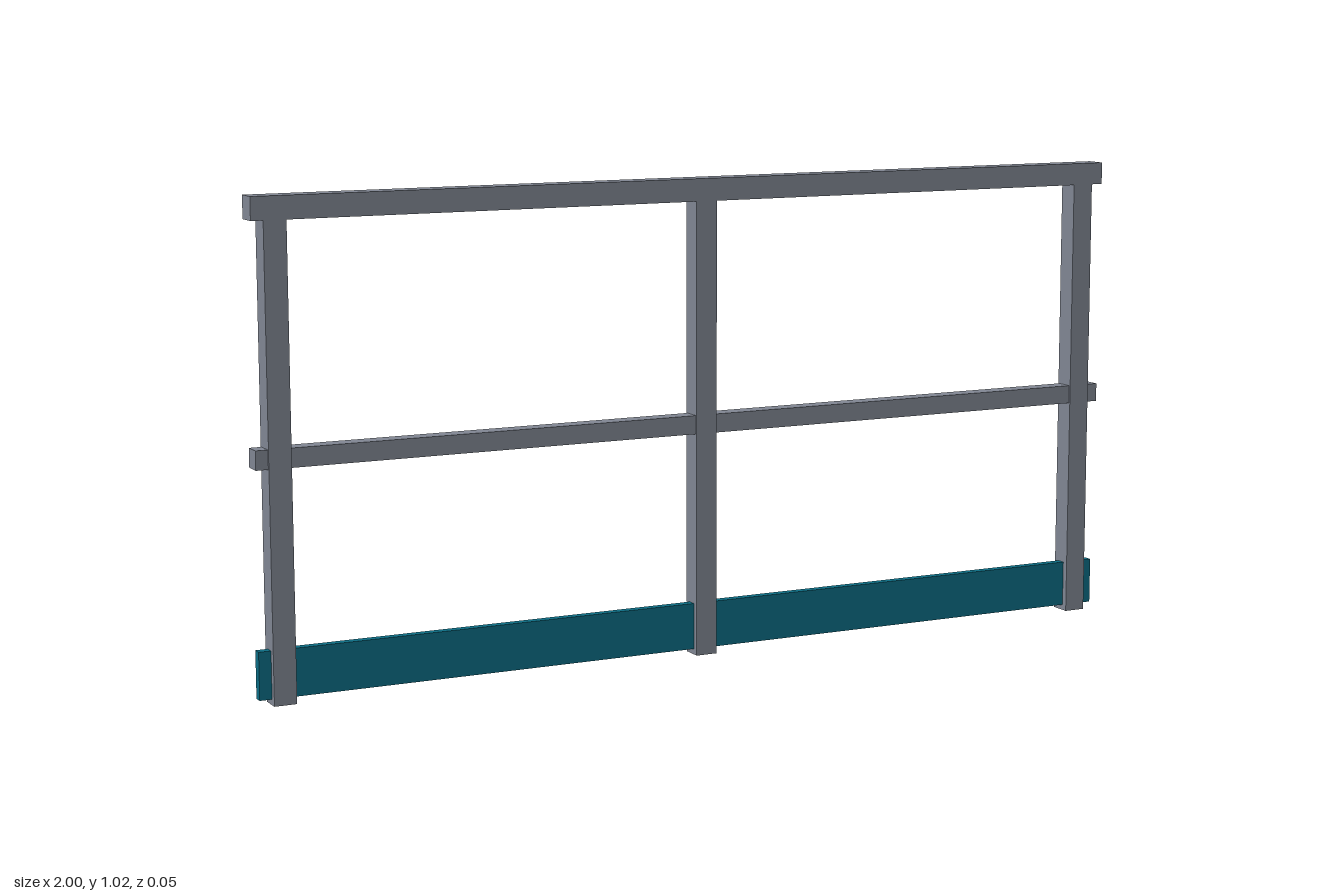
import * as THREE from 'three';

export function createModel() {
  const group = new THREE.Group();
  group.name = 'guardRail';

  const steel = new THREE.MeshStandardMaterial({ color: 0x7f8591 });
  steel.name = 'grey steel';
  const teal = new THREE.MeshStandardMaterial({ color: 0x0b6b82 });
  teal.name = 'teal paint';

  // Box bar centred on z = 0, spanning bottom to top
  function bar(name, material, x, width, bottom, top, depth) {
    const mesh = new THREE.Mesh(new THREE.BoxGeometry(width, top - bottom, depth), material);
    mesh.name = name;
    mesh.position.set(x, (bottom + top) / 2, 0);
    group.add(mesh);
  }

  // Three upright posts, ending inside the top rail
  [['rightPost', -0.95], ['middlePost', 0], ['leftPost', 0.95]].forEach(([name, x]) =>
    bar(name, steel, x, 0.048, 0, 1.0, 0.047));

  // Full-length rails and toe board
  bar('topRail', steel, 0, 2, 0.977, 1.025, 0.048);
  bar('middleRail', steel, 0, 2, 0.482, 0.522, 0.04);
  bar('toeBoard', teal, 0, 2, 0.012, 0.112, 0.02);

  return group;
}
